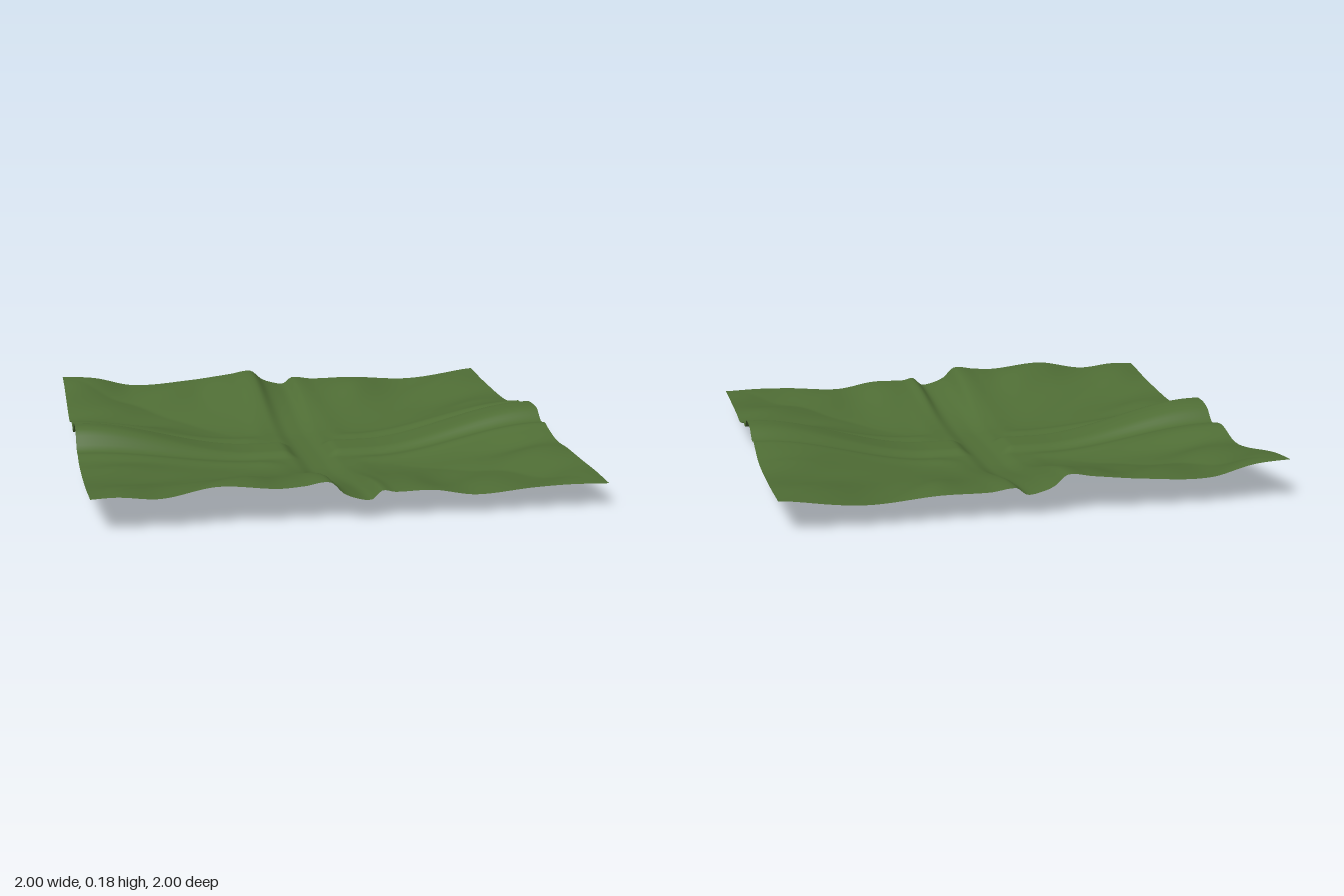
import * as THREE from 'three';

// Height profiles along the four borders: [position, height]
const frontEdge = [[-1, .14], [-.9, .148], [-.74, .13], [-.53, .165], [-.3, .145], [-.2, .15], [-.1, .16],
  [-.05, .115], [0, .093], [.06, .085], [.1, .118], [.15, .11], [.3, .11], [.47, .083], [.7, .098], [1, .1]];
const backEdge = [[-1, .165], [-.85, .145], [-.68, .108], [-.4, .125], [-.2, .148], [-.1, .16],
  [-.05, .12], [0, .1], [.06, .092], [.1, .12], [.2, .11], [.4, .11], [.69, .09], [1, .13]];
const leftEdge = [[-1, .13], [-.6, .108], [-.36, .112], [-.24, .142], [-.19, .152], [-.14, .143], [-.07, .178],
  [0, .185], [.07, .178], [.13, .138], [.19, .143], [.24, .128], [.36, .106], [.5, .11], [1, .1]];
const rightEdge = [[-1, .165], [-.75, .13], [-.5, .092], [-.4, .092], [-.27, .126], [-.2, .122], [-.14, .112],
  [-.08, .16], [0, .178], [.07, .168], [.13, .1], [.19, .098], [.25, .083], [.36, .08], [.5, .084], [.75, .105], [1, .14]];

const { smoothstep } = THREE.MathUtils;

// Smooth curve through a profile
function sample(points, t) {
  const last = points.length - 1;
  let i = 0;
  while (i < last - 1 && t > points[i + 1][0]) i++;
  const slope = (k) => {
    const a = points[Math.max(k - 1, 0)], b = points[Math.min(k + 1, last)];
    return (b[1] - a[1]) / (b[0] - a[0]);
  };
  const [x0, y0] = points[i], [x1, y1] = points[i + 1];
  const d = x1 - x0, u = (t - x0) / d, u2 = u * u, u3 = u2 * u;
  return y0 * (2 * u3 - 3 * u2 + 1) + y1 * (3 * u2 - 2 * u3)
    + d * (slope(i) * (u3 - 2 * u2 + u) + slope(i + 1) * (u3 - u2));
}

// Diagonal undulation, continuing the waves of the border inwards
const wave = (s) => .008 * Math.cos(14 * s);
const bump = (t, centre, width) => Math.exp(-(((t - centre) / width) ** 2));

// Shallow bowl whose rim follows the border profiles, crossed by two tracks
function heightAt(x, z) {
  const ax = Math.abs(x), az = Math.abs(z), r = Math.max(ax, az);
  const wx = ax ** 6, wz = az ** 6;
  const open = smoothstep(Math.min(ax, az), .2, .4);
  const side = sample(x > 0 ? leftEdge : rightEdge, z) + open * (wave(x + z) - wave(Math.sign(x) + z));
  const end = sample(z > 0 ? frontEdge : backEdge, x) + open * (wave(x + z) - wave(x + Math.sign(z)));
  const rim = (side * wx + end * wz) / (wx + wz + 1e-12);
  const rise = smoothstep(r, .25, .98);
  // Raised track running sideways with low banks, sunken track running front to back
  const ridge = (1 - smoothstep(az, .07, .13)) * smoothstep(ax, .06, .12);
  const banks = .01 * bump(az, .2, .045) * smoothstep(ax, .12, .25)
    + .005 * bump(ax, .16, .05) * smoothstep(az, .15, .28);
  const cut = 1 - smoothstep(ax, .03, .1);
  const bed = .021 + .02 * ridge + banks - .016 * cut;
  return bed * (1 - rise) + rim * rise;
}

export function createModel() {
  const group = new THREE.Group();
  group.name = 'terrainTile';

  const grass = new THREE.MeshStandardMaterial({ color: 0x4f6d35, side: THREE.DoubleSide });
  grass.name = 'grassGreen';

  // Ground sheet
  const geometry = new THREE.PlaneGeometry(2, 2, 160, 160).rotateX(-Math.PI / 2);
  const p = geometry.attributes.position;
  for (let i = 0; i < p.count; i++) p.setY(i, heightAt(p.getX(i), p.getZ(i)));
  geometry.computeBoundingBox();
  geometry.translate(0, -geometry.boundingBox.min.y, 0);
  geometry.computeVertexNormals();

  const ground = new THREE.Mesh(geometry, grass);
  ground.name = 'ground';
  group.add(ground);
  return group;
}
